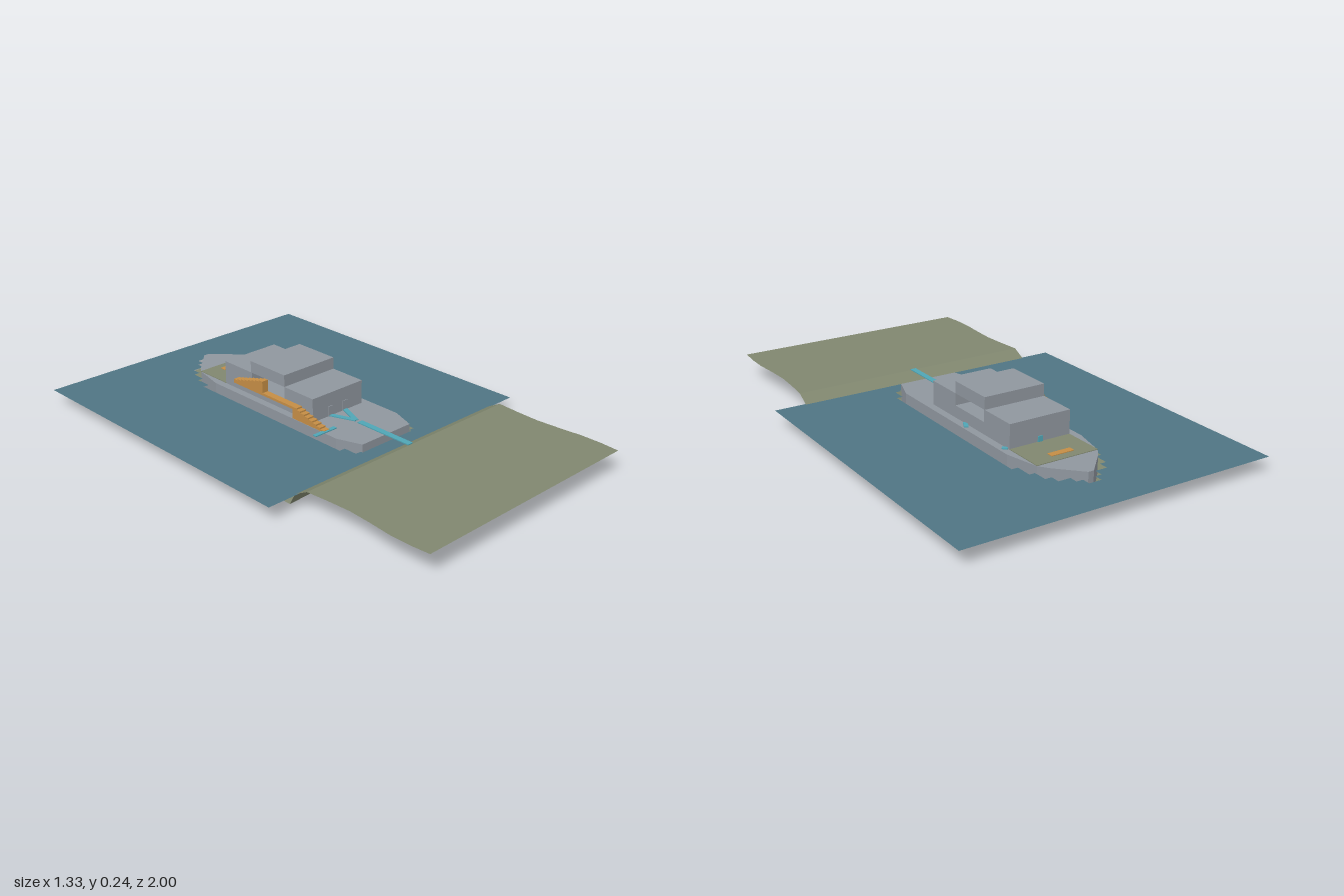
import * as THREE from 'three';

const mat = (name, color, side = THREE.FrontSide) => {
  const m = new THREE.MeshStandardMaterial({ color, side });
  m.name = name;
  return m;
};

export function createModel() {
  const grey = mat('grey steel', 0x8f969e);
  const olive = mat('olive ground', 0x80876f, THREE.DoubleSide);
  const water = mat('water blue', 0x4f7583, THREE.DoubleSide);
  const orange = mat('orange stairs', 0xc48d45);
  const teal = mat('teal path', 0x4fa5b5);

  const group = new THREE.Group();
  group.name = 'mooredShip';
  const add = (name, geo, m) => {
    const mesh = new THREE.Mesh(geo, m);
    mesh.name = name;
    group.add(mesh);
    return mesh;
  };
  // box given by its limits on each axis
  const box = (name, m, x0, x1, y0, y1, z0, z1) => {
    const mesh = add(name, new THREE.BoxGeometry(x1 - x0, y1 - y0, z1 - z0), m);
    mesh.position.set((x0 + x1) / 2, (y0 + y1) / 2, (z0 + z1) / 2);
    return mesh;
  };
  // plan outline mirrored in x, from right-half [x, z] points
  const plan = (half) => [
    ...half.map(([x, z]) => new THREE.Vector2(x, -z)),
    ...half.slice().reverse().map(([x, z]) => new THREE.Vector2(-x, -z)),
  ];

  // ground: flat seabed, steep bank, beach and flat shore
  const profile = [[-0.86, 0.005], [-0.6, 0.005], [-0.3, 0.005], [0, 0.005], [0.34, 0.005],
    [0.37, 0.058], [0.43, 0.09], [0.53, 0.09], [0.63, 0.09], [0.73, 0.09], [0.83, 0.09],
    [0.92, 0.09], [1, 0.09]];
  const nx = 32;
  const ground = new THREE.PlaneGeometry(1, 1, nx, profile.length - 1);
  ground.rotateX(-Math.PI / 2);
  const p = ground.attributes.position;
  for (let i = 0; i < p.count; i++) {
    const [z, y] = profile[Math.floor(i / (nx + 1))];
    const t = (i % (nx + 1)) / nx * 2 - 1;
    const half = 0.525 + 0.008 * Math.cos((z - 0.87) * 13);
    const x = t * half;
    const ripple = y < 0.01 ? 0.0045 * Math.cos((x + 0.4) * 11.8) : 0;
    p.setXYZ(i, x, y + ripple, z);
  }
  const flatGround = ground.toNonIndexed();
  flatGround.computeVertexNormals();
  add('seabedAndShore', flatGround, olive);

  // water sheet with a stepped opening around the hull
  const sea = new THREE.Shape(plan([[0.665, 0.38], [0.665, -1]]));
  sea.holes.push(new THREE.Path(plan([
    [0.135, 0.31], [0.135, 0.3], [0.16, 0.3], [0.16, 0.24], [0.187, 0.24], [0.187, -0.59],
    [0.16, -0.59], [0.16, -0.66], [0.135, -0.66], [0.135, -0.72], [0.107, -0.72],
    [0.107, -0.76], [0.055, -0.76], [0.055, -0.795], [0.027, -0.795], [0.027, -0.83],
  ])));
  const seaMesh = add('water', new THREE.ShapeGeometry(sea).rotateX(-Math.PI / 2), water);
  seaMesh.position.y = 0.06;

  // hull with flush deck
  const hullShape = new THREE.Shape(plan([
    [0.13, 0.305], [0.167, 0.2], [0.167, -0.53], [0.135, -0.67], [0.105, -0.71], [0.012, -0.805],
  ]));
  const hullGeo = new THREE.ExtrudeGeometry(hullShape, { depth: 0.08, bevelEnabled: false });
  add('hull', hullGeo.rotateX(-Math.PI / 2), grey).position.y = 0.01;

  // rear deck panel and hatch
  box('rearDeckPanel', olive, -0.135, 0.135, 0.09, 0.0925, -0.67, -0.5);
  box('hatchSteps', orange, -0.055, 0.045, 0.0925, 0.095, -0.635, -0.608);

  // cabins: lower storey, two upper blocks with an open bay, bridge above
  box('lowerCabin', grey, -0.135, 0.135, 0.09, 0.14, -0.5, 0.035);
  box('frontCabin', grey, -0.135, 0.135, 0.14, 0.19, -0.13, 0.035);
  box('rearCabin', grey, -0.135, 0.135, 0.14, 0.19, -0.5, -0.33);
  box('bridge', grey, -0.135, 0.135, 0.19, 0.24, -0.335, -0.13);
  for (const s of [-1, 1])
    box('frontDoor', grey, s * 0.04 - 0.012, s * 0.04 + 0.012, 0.09, 0.133, 0.035, 0.038);
  box('rearDoor', teal, -0.01, 0.01, 0.0925, 0.115, -0.504, -0.5);

  // stairs along the right side: two solid flights, each rising one storey
  const flight = (name, zFoot, zTop, yBase, base) => {
    const n = 8;
    for (let i = 0; i < n; i++) {
      const a = zFoot + (zTop - zFoot) * i / n;
      const b = zFoot + (zTop - zFoot) * (i + 1) / n;
      box(name, orange, -0.165, -0.135, base, yBase + 0.05 * (i + 1) / n,
        Math.min(a, b), Math.max(a, b));
    }
  };
  flight('lowerStairs', 0.13, -0.05, 0.09, 0.09);
  box('stairLanding', orange, -0.165, -0.135, 0.13, 0.14, -0.23, -0.05);
  flight('upperStairs', -0.41, -0.23, 0.14, 0.13);

  // teal walkway marks, flat strips between two plan points
  const strip = (name, x0, z0, x1, z1, w, y = 0.093) => {
    const mesh = add(name, new THREE.BoxGeometry(w, 0.004, Math.hypot(x1 - x0, z1 - z0)), teal);
    mesh.position.set((x0 + x1) / 2, y, (z0 + z1) / 2);
    mesh.rotation.y = Math.atan2(x1 - x0, z1 - z0);
  };
  strip('gangway', 0, 0.16, 0, 0.43, 0.025);
  strip('shorePath', 0, 0.43, 0, 0.76, 0.012, 0.0875);
  strip('shoreCrossPath', -0.1, 0.45, 0.1, 0.45, 0.012, 0.0875);
  for (const s of [-1, 1]) strip('doorPath', 0, 0.14, s * 0.04, 0.035, 0.02);
  strip('stairPath', -0.215, 0.13, -0.105, 0.13, 0.018);
  strip('sidePath', 0.135, -0.2, 0.155, -0.24, 0.018);
  strip('sidePath', 0.135, -0.49, 0.152, -0.475, 0.018);
  return group;
}
